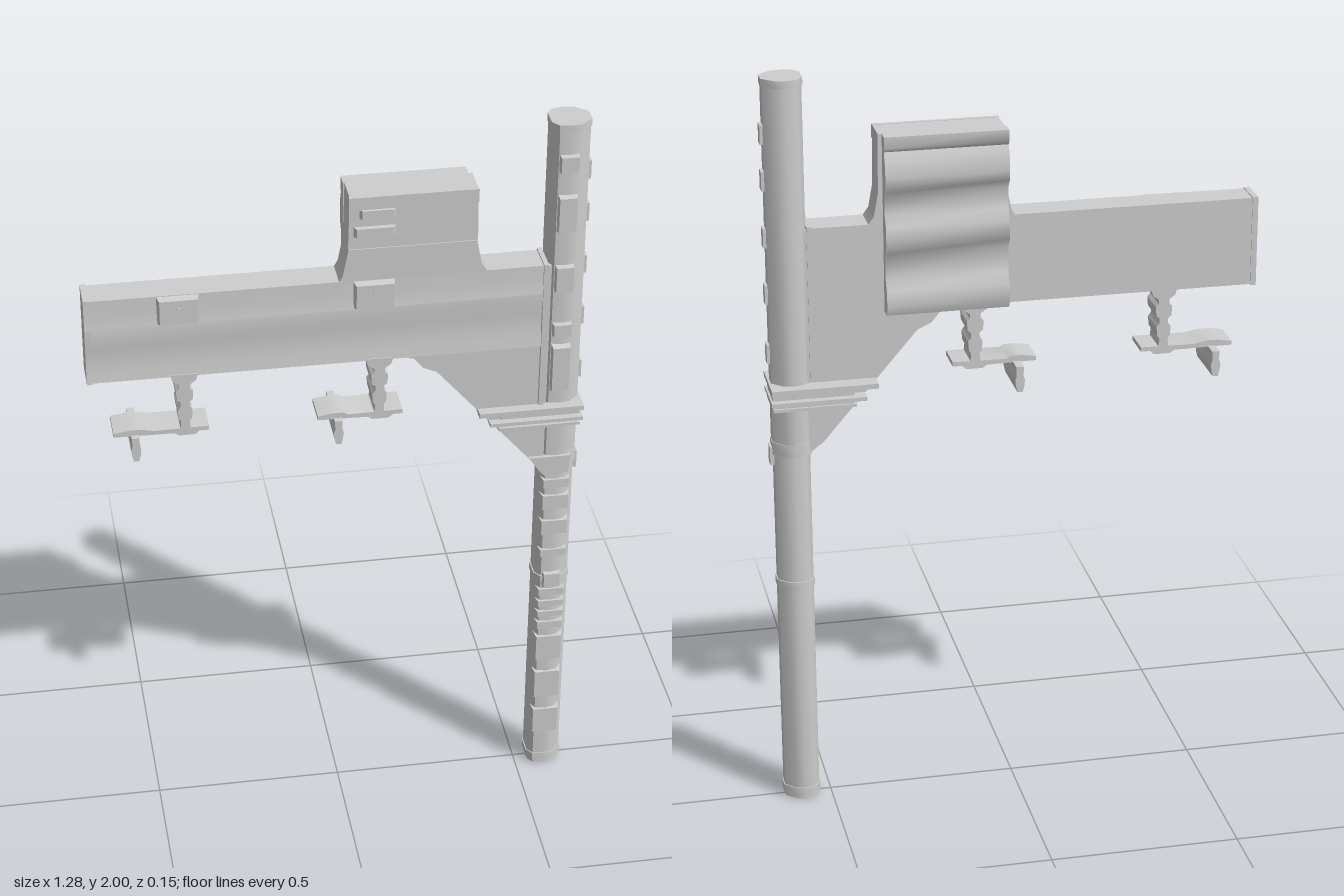
import * as THREE from 'three';
import { toCreasedNormals } from 'three/addons/utils/BufferGeometryUtils.js';

export function createModel() {
  const model = new THREE.Group();
  model.name = 'tool';
  const grey = new THREE.MeshStandardMaterial({ color: 0xcecece });
  grey.name = 'grey metal';

  const add = (geometry, name, parent = model) => {
    const mesh = new THREE.Mesh(geometry, grey);
    mesh.name = name;
    parent.add(mesh);
    return mesh;
  };
  const shapeOf = pts => new THREE.Shape(pts.map(p => new THREE.Vector2(p[0], p[1])));
  const prism = (pts, depth) =>
    toCreasedNormals(new THREE.ExtrudeGeometry(shapeOf(pts), { depth, bevelEnabled: false }), 0.7);
  // Outline in x,y carried from z0 to z1
  const slab = (pts, z0, z1, name, parent) => add(prism(pts, z1 - z0).translate(0, 0, z0), name, parent);
  // Section in z,y carried from x0 to x1
  const rail = (pts, x0, x1, name) =>
    add(prism(pts.map(([z, y]) => [-z, y]), x1 - x0).rotateY(Math.PI / 2).translate(x0, 0, 0), name);
  // Section in x,z carried from y0 to y1
  const column = (pts, y0, y1, name) =>
    add(prism(pts.map(([x, z]) => [x, -z]), y1 - y0).rotateX(-Math.PI / 2).translate(0, y0, 0), name);
  const box = (x0, x1, y0, y1, z0, z1, name) =>
    add(new THREE.BoxGeometry(x1 - x0, y1 - y0, z1 - z0)
      .translate((x0 + x1) / 2, (y0 + y1) / 2, (z0 + z1) / 2), name);
  // Raised pad with sloping sides, facing +z
  const pad = (x0, x1, y0, y1, z0, z1, name) => {
    const g = new THREE.CylinderGeometry(0.85 * Math.SQRT1_2, Math.SQRT1_2, 1, 4, 1).toNonIndexed();
    g.rotateY(Math.PI / 4).rotateX(Math.PI / 2);
    g.scale(x1 - x0, y1 - y0, z1 - z0).translate((x0 + x1) / 2, (y0 + y1) / 2, (z0 + z1) / 2);
    return add(toCreasedNormals(g, 0.7), name);
  };

  // Beam with a hollowed front and a ridge along the upper third
  const beamSection = [[-0.033, 1.375], [0.053, 1.375], [0.05, 1.4], [0.047, 1.43], [0.048, 1.47],
    [0.055, 1.528], [0.054, 1.533], [0.051, 1.57], [0.05, 1.61], [-0.033, 1.61]];
  rail(beamSection, -0.635, 0.52, 'beam');
  rail(beamSection.map(([z, y]) => [0.01 + (z - 0.01) * 1.06, 1.493 + (y - 1.493) * 1.02]), -0.645, -0.63, 'beamEnd');

  // Brace joining beam and post
  slab([[0.15, 1.376], [0.19, 1.365], [0.215, 1.335], [0.25, 1.32], [0.3, 1.262], [0.5, 1.03], [0.54, 1],
    [0.54, 1.605], [0.36, 1.605], [0.3, 1.55], [0.15, 1.53]], -0.033, 0.046, 'brace');
  box(0.518, 0.53, 1.2, 1.615, -0.036, 0.057, 'braceEdge');

  // Raised block with a stepped back that runs down behind the beam
  slab([[-0.01, 1.6], [0.005, 1.625], [0.018, 1.69], [0.022, 1.845], [0.345, 1.845], [0.347, 1.69],
    [0.358, 1.63], [0.38, 1.6]], -0.033, 0.05, 'block');
  rail([[-0.03, 1.376], [-0.03, 1.845], [-0.068, 1.845], [-0.068, 1.815], [-0.06, 1.805], [-0.072, 1.78],
    [-0.078, 1.74], [-0.074, 1.715], [-0.058, 1.695], [-0.058, 1.64], [-0.075, 1.61], [-0.075, 1.56],
    [-0.056, 1.535], [-0.056, 1.47], [-0.072, 1.44], [-0.076, 1.4], [-0.068, 1.376]], 0.018, 0.335, 'blockBack');
  box(0.02, 0.346, 1.81, 1.846, 0.045, 0.056, 'blockRim');
  box(0.02, 0.346, 1.695, 1.7, 0.045, 0.053, 'blockRib');
  [[0.045, 0.14, 1.785], [0.03, 0.14, 1.735]].forEach(([a, b, y]) =>
    pad(a, b, y, y + 0.028, 0.045, 0.062, 'blockLug'));

  // Pads on the beam
  for (const x of [-0.41, 0.085]) {
    pad(x - 0.056, x + 0.056, 1.532, 1.61, 0.04, 0.07, 'beamPad');
    add(new THREE.CylinderGeometry(0.005, 0.005, 0.006, 8).rotateX(Math.PI / 2)
      .translate(x, 1.58, 0.071), 'beamPadStud');
  }

  // Hangers below the beam: stem, shelf and cross bar
  const stem = [[0.035, 1.38], [0.03, 1.362], [0.014, 1.35], [0.014, 1.338], [0.022, 1.33], [0.02, 1.305],
    [0.011, 1.298], [0.011, 1.285], [0.019, 1.275], [0.017, 1.25], [0.011, 1.242], [0.013, 1.222], [0.028, 1.21]];
  const mirrored = half => [...half, ...half.map(([x, y]) => [-x, y]).reverse()];
  const bar = mirrored([[0.01, 1.212], [0.009, 1.187], [0.013, 1.176], [0.011, 1.16], [0.007, 1.143]]);
  for (const [x, barX, shelfEnd] of [[-0.4, -0.13, -0.185], [0.1, -0.108, -0.16]]) {
    const hanger = new THREE.Group();
    hanger.name = 'hanger';
    hanger.position.x = x;
    model.add(hanger);
    slab(mirrored(stem), -0.033, 0.055, 'hangerStem', hanger);
    slab([[shelfEnd, 1.21], [-0.03, 1.208], [-0.018, 1.2], [0.025, 1.2], [0.035, 1.21], [0.06, 1.21],
      [0.06, 1.222], [-0.08, 1.22], [barX + 0.015, 1.227], [barX - 0.015, 1.227], [shelfEnd, 1.221]],
      -0.033, 0.055, 'hangerShelf', hanger);
    slab(bar.map(([u, y]) => [u + barX, y]), -0.078, 0.072, 'hangerBar', hanger);
  }

  // Post with a many-sided section
  const section = [[0.53, -0.025], [0.545, -0.045], [0.575, -0.052], [0.6, -0.047], [0.63, -0.018],
    [0.63, 0.02], [0.602, 0.046], [0.575, 0.05], [0.545, 0.046], [0.53, 0.025]];
  const scaled = s => section.map(([x, z]) => [0.58 + (x - 0.58) * s, z * s]);
  column(scaled(0.98), 1.0, 1.985, 'upperPost');
  column(scaled(0.92), 0.01, 1.02, 'lowerPost');
  column(scaled(1.03), 1.98, 2, 'postTop');
  column(scaled(0.87), 0, 0.01, 'postFoot');
  column(scaled(0.97), 0.012, 0.035, 'footBand');

  // Pads on the front and outer edge of the upper post
  [[1.87, 1.92], [1.7, 1.81], [1.53, 1.61], [1.4, 1.44], [1.23, 1.38]].forEach(([a, b]) =>
    pad(0.546, 0.598, a, b, 0.035, 0.062, 'postFrontPad'));
  [1.83, 1.71, 1.56, 1.41, 1.25, 0.97].forEach(y =>
    box(0.61, 0.637, y, y + 0.05, -0.015, 0.015, 'postEdgePad'));

  // Collar with broad flanges
  box(0.42, 0.63, 1.13, 1.19, -0.05, 0.05, 'collar');
  box(0.36, 0.635, 1.184, 1.197, -0.078, 0.074, 'collarTopFlange');
  box(0.39, 0.635, 1.15, 1.16, -0.07, 0.068, 'collarMiddleFlange');
  box(0.415, 0.63, 1.13, 1.138, -0.056, 0.058, 'collarBottomFlange');

  // Clasp where the brace ends
  column(scaled(1.02), 1.0, 1.035, 'clasp');
  slab([[0.5, 1.035], [0.61, 1.035], [0.605, 0.985], [0.55, 0.97], [0.53, 0.99]], 0.03, 0.056, 'claspPlate');

  // Bands wrapped across the front of the grip
  [[0.93, 0.03], [0.86, 0.05], [0.78, 0.05], [0.71, 0.025], [0.58, 0.025], [0.545, 0.02], [0.51, 0.02],
    [0.47, 0.025], [0.36, 0.09], [0.23, 0.1], [0.11, 0.09]].forEach(([y, h]) =>
    pad(0.536, 0.617, y, y + h, 0.025, 0.05, 'gripBand'));
  column(scaled(0.98), 0.625, 0.645, 'gripRing');
  pad(0.55, 0.6, 0.61, 0.66, 0.035, 0.057, 'gripStud');

  return model;
}
